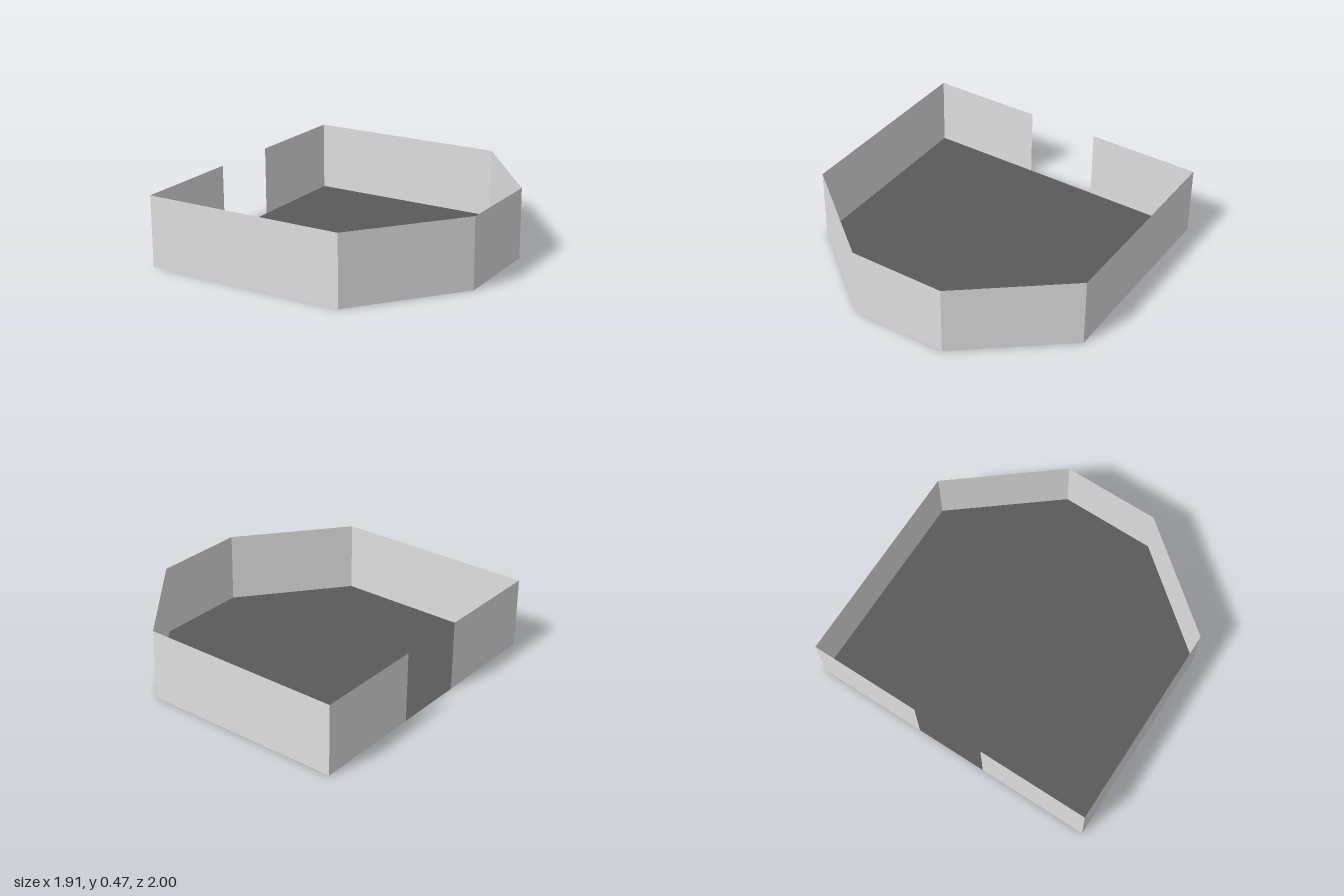
import * as THREE from 'three';

const HEIGHT = 0.473;

// Plan outline (x, z), running from one side of the doorway round to the other
const OUTLINE = [
  [-0.957, 0.245], [-0.957, 1], [0.415, 1], [0.957, 0.325],
  [0.957, -0.325], [0.415, -1], [-0.957, -1], [-0.957, -0.245],
];

export function createModel() {
  const model = new THREE.Group();
  model.name = 'openRoom';

  const wallMaterial = new THREE.MeshStandardMaterial({ color: 0xe0e0e0, side: THREE.DoubleSide });
  wallMaterial.name = 'lightGreyWall';
  const floorMaterial = new THREE.MeshStandardMaterial({ color: 0x5a5a5a, side: THREE.DoubleSide });
  floorMaterial.name = 'darkGreyFloor';

  // Floor: flat plate with two chamfered corners
  const shape = new THREE.Shape(OUTLINE.map(([x, z]) => new THREE.Vector2(x, -z)));
  const floor = new THREE.Mesh(new THREE.ShapeGeometry(shape).rotateX(-Math.PI / 2), floorMaterial);
  floor.name = 'floor';
  model.add(floor);

  // Walls: one thin sheet per outline edge, leaving the doorway open
  const names = ['doorWallLeft', 'frontWall', 'frontCornerWall', 'endWall',
    'backCornerWall', 'backWall', 'doorWallRight'];
  names.forEach((name, i) => {
    const [x0, z0] = OUTLINE[i];
    const [x1, z1] = OUTLINE[i + 1];
    const dx = x1 - x0, dz = z1 - z0;
    const wall = new THREE.Mesh(new THREE.PlaneGeometry(Math.hypot(dx, dz), HEIGHT), wallMaterial);
    wall.position.set((x0 + x1) / 2, HEIGHT / 2, (z0 + z1) / 2);
    wall.rotation.y = Math.atan2(-dz, dx);
    wall.name = name;
    model.add(wall);
  });

  return model;
}
